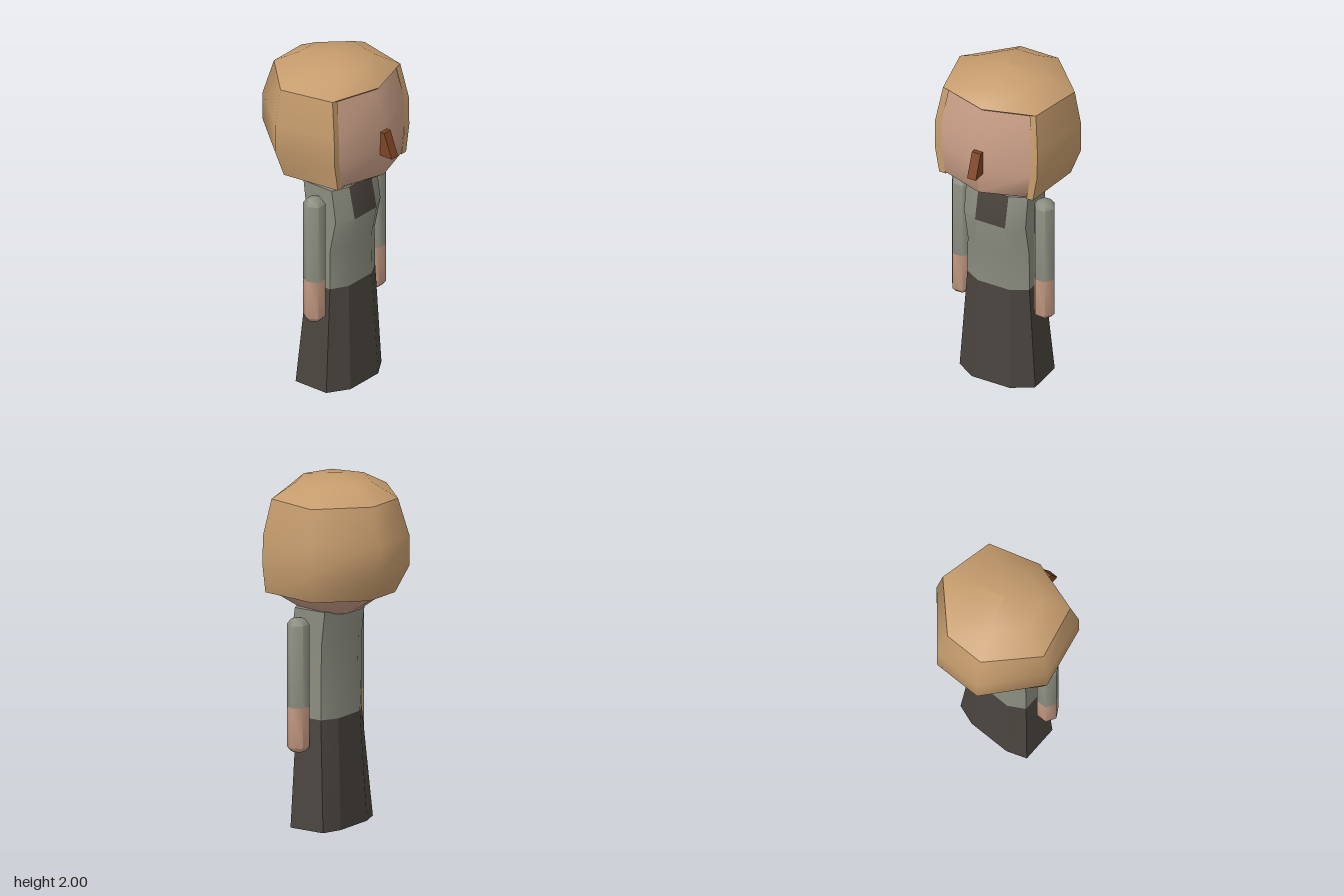
import * as THREE from 'three';
import { toCreasedNormals } from 'three/addons/utils/BufferGeometryUtils.js';

const mat = (name, color, side = THREE.FrontSide) => {
  const m = new THREE.MeshStandardMaterial({ color, side });
  m.name = name;
  return m;
};

// Mirror half an outline ([x, z] from front to back on the left) into a full ring at height y
function ring(y, half) {
  const left = half.map(([x, z]) => [x, y, z]);
  const right = half.filter(([x]) => x > 0).reverse().map(([x, z]) => [-x, y, z]);
  return [...left, ...right];
}

// Skin rings listed bottom to top; pick(i, j) chooses a material slot for each face
function loft(rings, { closed = true, bottom = false, top = false, crease = 0.6, pick = () => 0 } = {}) {
  const n = rings[0].length, pos = rings.flat(2), slots = [[], []];
  for (let i = 0; i < rings.length - 1; i++) {
    for (let j = 0; j < (closed ? n : n - 1); j++) {
      const a = i * n + j, b = i * n + (j + 1) % n;
      slots[pick(i, j)].push(a, b, b + n, a, b + n, a + n);
    }
  }
  const last = (rings.length - 1) * n;
  for (let j = 1; j < n - 1; j++) {
    if (bottom) slots[0].push(0, j + 1, j);
    if (top) slots[0].push(last, last + j, last + j + 1);
  }
  const g = new THREE.BufferGeometry();
  g.setAttribute('position', new THREE.Float32BufferAttribute(pos, 3));
  g.setIndex(slots.flat());
  g.addGroup(0, slots[0].length, 0);
  if (slots[1].length) g.addGroup(slots[0].length, slots[1].length, 1);
  const flat = g.toNonIndexed();
  g.groups.forEach((s) => { if (!flat.groups.length) flat.groups = g.groups.map((q) => ({ ...q })); });
  flat.computeVertexNormals();
  return toCreasedNormals(flat, crease);
}

export function createModel() {
  const model = new THREE.Group();
  model.name = 'figure';
  const hair = mat('hair tan', 0xc69c6d, THREE.DoubleSide);
  const skin = mat('skin', 0xc99e86);
  const shirt = mat('shirt grey', 0x8c8d80);
  const dark = mat('skirt dark', 0x4a443e);
  const brown = mat('nose brown', 0x7d4524);
  const add = (name, geometry, material, parent = model) => {
    const m = new THREE.Mesh(geometry, material);
    m.name = name;
    parent.add(m);
    return m;
  };

  // Eight-sided body section: half width, front and back edges, side edges
  const section = (y, w, fx, zf, zsf, zsb, zb) =>
    ring(y, [[fx, zf], [w, zsf], [w, zsb], [fx * 1.05, zb]]);
  const waist = section(0.63, 0.197, 0.1, 0.165, 0.11, -0.055, -0.108);

  // Skirt
  add('skirt', loft([section(0, 0.24, 0.12, 0.195, 0.12, -0.1, -0.14), waist],
    { bottom: true, crease: 0.2 }), dark);

  // Shirt with a dark panel on the chest; the front face is the last one in each ring
  add('shirt', loft([
    waist,
    section(0.86, 0.195, 0.095, 0.165, 0.108, -0.055, -0.095),
    section(1.06, 0.195, 0.095, 0.205, 0.15, -0.058, -0.1),
    section(1.25, 0.195, 0.095, 0.165, 0.122, -0.08, -0.11),
  ], { top: true, pick: (i, j) => (i === 2 && j === 7 ? 1 : 0) }), [shirt, dark]);

  // Arms: six-sided sleeves and hands
  const tube = (points) => {
    const g = new THREE.LatheGeometry(points.map(([r, y]) => new THREE.Vector2(r, y)), 6, Math.PI / 6);
    return toCreasedNormals(g, 1.1);
  };
  const sleeve = tube([[0.063, 0.71], [0.063, 1.18], [0.04, 1.21], [0, 1.215]]);
  const hand = tube([[0, 0.455], [0.042, 0.455], [0.063, 0.48], [0.063, 0.71]]);
  for (const [side, s] of [['left', 1], ['right', -1]]) {
    const arm = new THREE.Group();
    arm.name = side + 'Arm';
    arm.position.set(s * 0.262, 0, 0.053);
    add(side + 'Sleeve', sleeve, shirt, arm);
    add(side + 'Hand', hand, skin, arm);
    model.add(arm);
  }

  // Seven-sided head
  const cheeks = [[0, 0.335], [0.29, 0.243], [0.37, -0.11], [0.13, -0.385]];
  add('head', loft([
    ring(1.225, [[0, 0.14], [0.13, 0.1], [0.16, -0.06], [0.06, -0.14]]),
    ring(1.35, [[0, 0.335], [0.262, 0.248], [0.31, -0.1], [0.11, -0.3]]),
    ring(1.5, cheeks),
    ring(1.67, cheeks),
    ring(1.87, [[0, 0.28], [0.27, 0.195], [0.34, -0.1], [0.11, -0.33]]),
  ], { bottom: true, top: true, crease: 1.0 }), skin);

  // Nose: a wedge sloping out from top to bottom
  const profile = new THREE.Shape([[0.33, 1.48], [0.415, 1.48], [0.36, 1.625], [0.335, 1.625]]
    .map(([z, y]) => new THREE.Vector2(-z, y)));
  const nose = new THREE.ExtrudeGeometry(profile, { depth: 0.055, bevelEnabled: false });
  nose.translate(0, 0, -0.0275).rotateY(Math.PI / 2);
  add('nose', nose, brown);

  // Hair wrapped round the sides and back, open over the face
  const levels = [
    [1.34, [[0.297, 0.25], [0.343, -0.1], [0.12, -0.335]]],
    [1.5, [[0.325, 0.25], [0.4, -0.115], [0.145, -0.415]]],
    [1.67, [[0.325, 0.247], [0.4, -0.115], [0.145, -0.415]]],
    [1.88, [[0.295, 0.21], [0.365, -0.105], [0.12, -0.355]]],
  ];
  add('hairSides', loft(levels.map(([y, h]) => ring(y, h)), { closed: false, crease: 1.0 }), hair);
  for (const [side, s] of [['left', 1], ['right', -1]]) {
    const edge = levels.map(([y, [[x, z]]]) => {
      const pair = [[s * (x - 0.04), y, z], [s * x, y, z]];
      return s > 0 ? pair : pair.reverse();
    });
    add(side + 'HairEdge', loft(edge, { closed: false }), hair);
  }
  const [y0, hem] = levels[0];
  add('hairHem', loft([ring(y0, hem.map(([x, z]) => [x * 0.86, z > 0 ? z : z * 0.86])), ring(y0, hem)],
    { closed: false }), hair);

  // Hair crown and its thin rim over the forehead
  const brim = [[0, 0.3], ...levels[3][1]];
  add('hairCrown', loft([
    ring(1.88, brim),
    ring(1.965, [[0, 0.2], [0.17, 0.13], [0.21, -0.06], [0.07, -0.21]]),
    ring(2.0, [[0, -0.009], [0.001, -0.0095], [0.001, -0.01], [0.0005, -0.011]]),
  ], { top: true, crease: 1.0 }), hair);
  add('hairRim', loft([ring(1.86, brim.map(([x, z]) => [x * 0.92, z * 0.92])), ring(1.88, brim)]), hair);

  return model;
}
